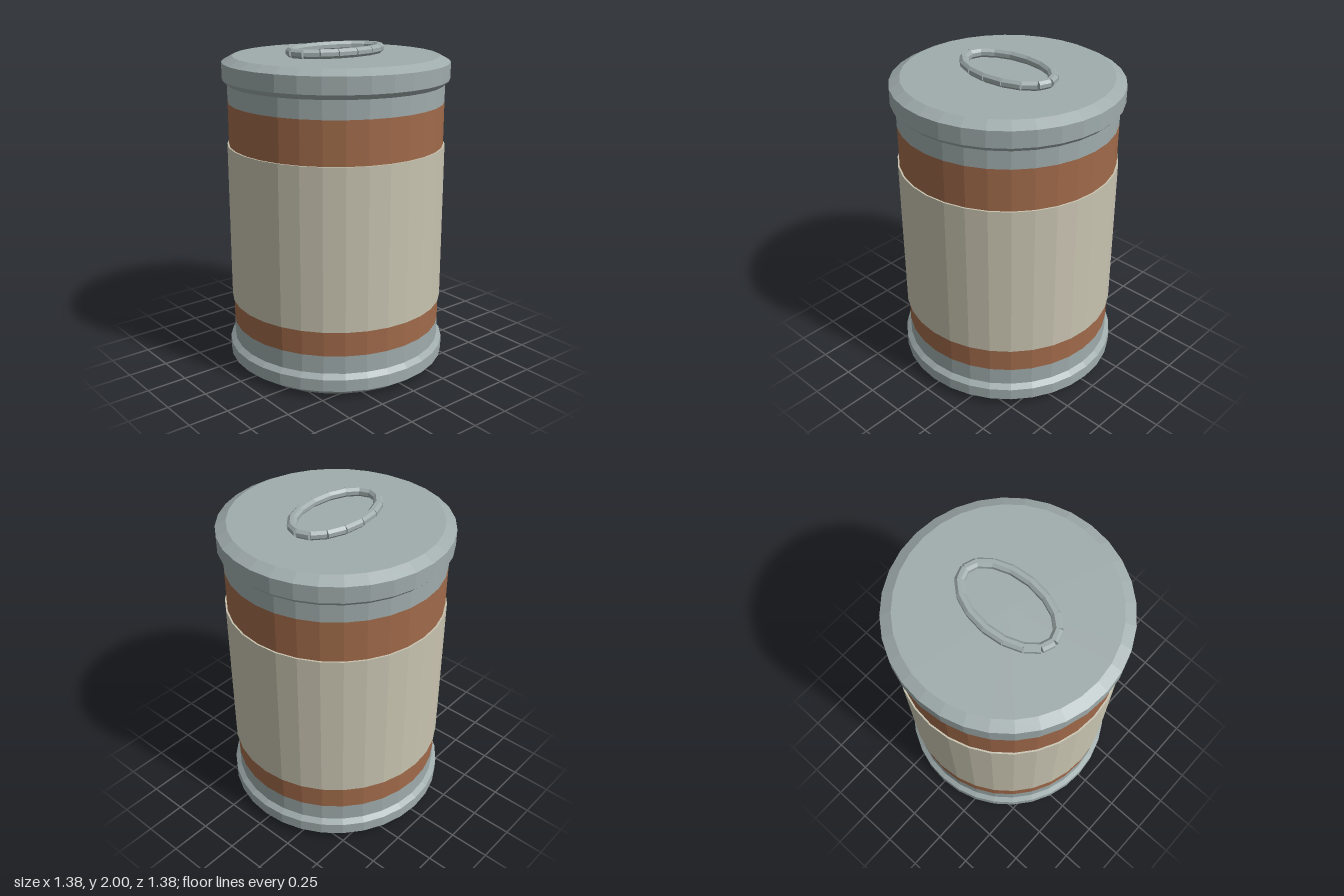
import * as THREE from 'three';

const SIDES = 32;
const material = (color) => new THREE.MeshStandardMaterial({ color, flatShading: true });

export function createModel() {
  const group = new THREE.Group();
  const steel = material(0x9fabab);
  const rust = material(0xa06a4a);
  const cream = material(0xc8c3b0);

  // Faceted turned part; the profile runs bottom to top as [radius, height]
  const turned = (name, profile, mat) => {
    const points = profile.map(([r, y]) => new THREE.Vector2(r, y));
    const mesh = new THREE.Mesh(new THREE.LatheGeometry(points, SIDES), mat);
    mesh.name = name;
    group.add(mesh);
  };

  // Base and lid, each with chamfered rims
  turned('base', [[0, 0], [0.62, 0], [0.69, 0.05], [0.69, 0.125], [0.655, 0.157], [0.6, 0.157]], steel);
  turned('lid', [[0.6, 1.775], [0.655, 1.775], [0.69, 1.81], [0.69, 1.91], [0.625, 1.945], [0, 1.945]], steel);

  // Wall, painted bands and the slightly proud label
  turned('lowerWall', [[0.66, 0.15], [0.66, 0.265]], steel);
  turned('lowerBand', [[0.66, 0.265], [0.66, 0.42]], rust);
  turned('label', [[0.655, 0.42], [0.67, 0.42], [0.67, 1.41], [0.655, 1.41]], cream);
  turned('upperBand', [[0.66, 1.41], [0.66, 1.67]], rust);
  turned('upperWall', [[0.66, 1.67], [0.66, 1.78]], steel);

  // Oval pull ring made of short eight-sided bars
  const ring = new THREE.Group();
  ring.name = 'pullRing';
  const count = 16;
  const ovalPoint = (i) => {
    const a = (i / count) * Math.PI * 2;
    return new THREE.Vector3(0.18 * Math.sin(a), 1.973, 0.315 * Math.cos(a));
  };
  for (let i = 0; i < count; i++) {
    const start = ovalPoint(i), end = ovalPoint(i + 1);
    const geometry = new THREE.CylinderGeometry(0.0292, 0.0292, start.distanceTo(end), 8);
    geometry.rotateY(Math.PI / 8);
    geometry.rotateX(Math.PI / 2);
    const bar = new THREE.Mesh(geometry, steel);
    bar.name = 'ringBar';
    bar.position.copy(start).lerp(end, 0.5);
    bar.lookAt(end);
    ring.add(bar);
  }
  group.add(ring);

  return group;
}
